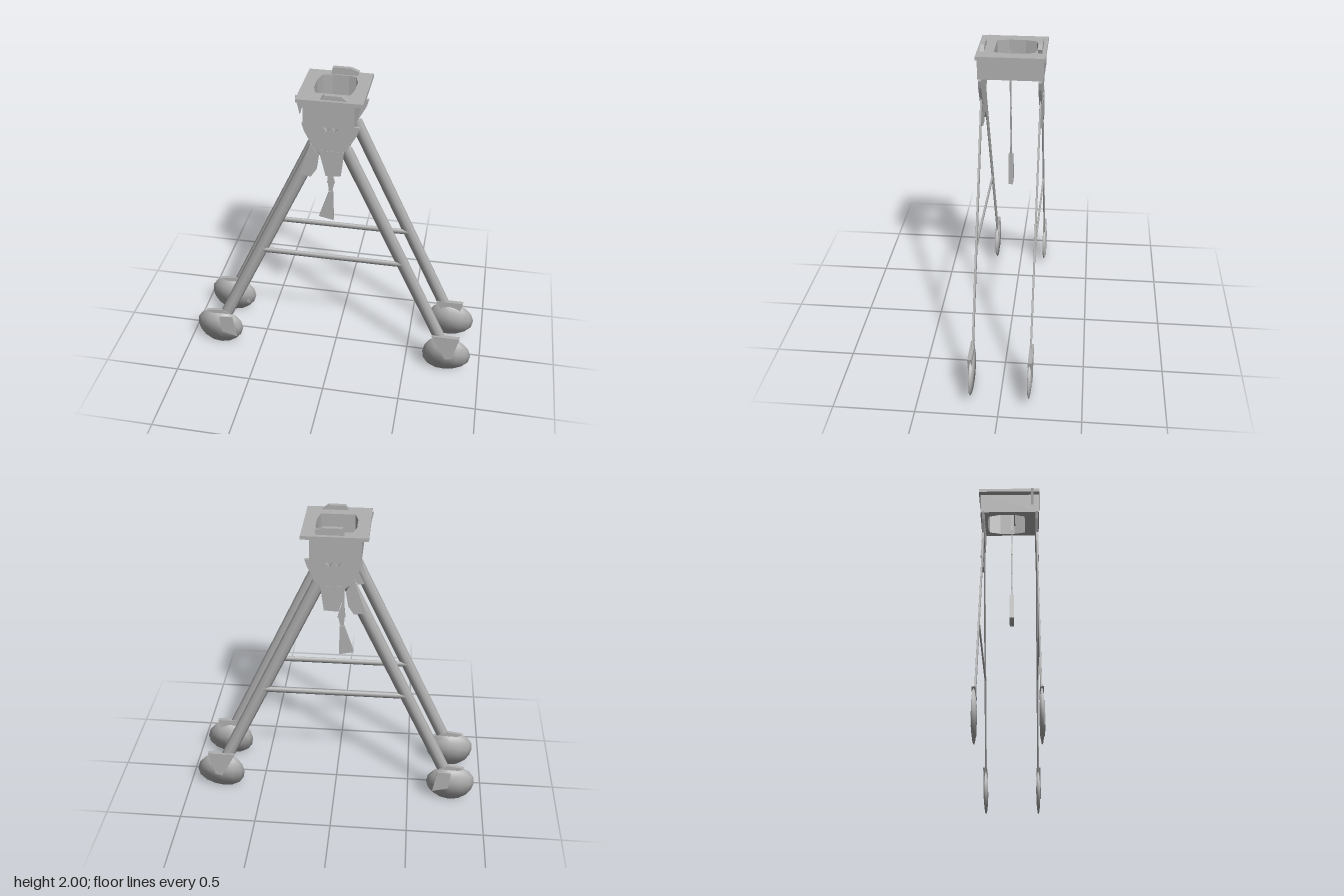
import * as THREE from 'three';

export function createModel() {
  const model = new THREE.Group();
  model.name = 'hoistFrame';
  const metal = new THREE.MeshStandardMaterial({ color: 0xb0b0b0, side: THREE.DoubleSide });
  metal.name = 'weathered grey metal';

  function add(parent, name, geometry, x = 0, y = 0, z = 0) {
    const mesh = new THREE.Mesh(geometry, metal);
    mesh.name = name;
    mesh.position.set(x, y, z);
    parent.add(mesh);
    return mesh;
  }
  const toShape = pts => new THREE.Shape(pts.map(p => new THREE.Vector2(p[0], p[1])));

  // Flat plate in the xy plane, centred on its z
  function plate(pts, depth, holes = []) {
    const shape = toShape(pts);
    holes.forEach(h => shape.holes.push(toShape(h)));
    const g = new THREE.ExtrudeGeometry(shape, { depth, bevelEnabled: false });
    return g.translate(0, 0, -depth / 2);
  }

  // Horizontal frame with a barrel-shaped opening, from y0 to y1
  function ring(x0, x1, z0, z1, y0, y1) {
    const shape = toShape([[x0, -z1], [x1, -z1], [x1, -z0], [x0, -z0]]);
    shape.holes.push(toShape([
      [-0.105, -0.1], [-0.125, -0.03], [-0.125, 0.07], [-0.105, 0.14], [-0.05, 0.15],
      [0.05, 0.15], [0.095, 0.14], [0.115, 0.07], [0.115, -0.03], [0.1, -0.1]
    ]));
    const g = new THREE.ExtrudeGeometry(shape, { depth: y1 - y0, bevelEnabled: false });
    return g.rotateX(-Math.PI / 2).translate(0, y0, 0);
  }

  // Squash a round part along z but keep its rounded normals
  function flatten(g, k) {
    const pos = g.attributes.position;
    for (let i = 0; i < pos.count; i++) pos.setZ(i, pos.getZ(i) * k);
    return g;
  }

  // Flattened bar between two points of the xy plane
  function bar(parent, name, [xa, ya], [xb, yb], radius, depth) {
    const length = Math.hypot(xb - xa, yb - ya);
    const g = flatten(new THREE.CylinderGeometry(radius, radius, length, 8), depth / (2 * radius));
    const mesh = add(parent, name, g, (xa + xb) / 2, (ya + yb) / 2, 0);
    mesh.rotation.z = Math.atan2(yb - ya, xb - xa) - Math.PI / 2;
  }

  // Head box with an overhanging rim
  add(model, 'headBox', ring(-0.16, 0.14, -0.195, 0.195, 1.8, 1.945));
  add(model, 'headRim', ring(-0.2, 0.19, -0.205, 0.2, 1.935, 1.957));
  add(model, 'rimFlap', plate([[-0.21, 1.955], [-0.15, 1.955], [-0.185, 1.84]], 0.015), 0, 0, 0.15);
  add(model, 'frontRimCap', plate([[-0.06, 1.955], [0.1, 1.955], [0.06, 1.985], [-0.04, 1.985]], 0.025), 0, 0, 0.17);
  add(model, 'backRimCap', plate([[-0.06, 1.955], [0.1, 1.955], [0.11, 1.98], [0.06, 2], [-0.05, 2]], 0.025), 0, 0, -0.17);

  // Lens-shaped wheel with a slightly rough outline
  function wheel(seed) {
    const g = flatten(new THREE.SphereGeometry(0.16, 12, 8), 0.085);
    const pos = g.attributes.position;
    for (let i = 0; i < pos.count; i++) {
      const a = Math.atan2(pos.getY(i), pos.getX(i));
      const k = 1 + 0.035 * Math.sin(3 * a + seed);
      pos.setXY(i, pos.getX(i) * k, pos.getY(i) * k * 0.91);
    }
    return g;
  }

  // Two matching A-frames
  for (const [name, z, out] of [['frontFrame', 0.178, 1], ['backFrame', -0.176, -1]]) {
    const frame = new THREE.Group();
    frame.name = name;
    frame.position.z = z;
    model.add(frame);

    bar(frame, 'leftLeg', [0.762, 0.2], [0.088, 1.65], 0.041, 0.012);
    bar(frame, 'rightLeg', [-0.762, 0.2], [-0.088, 1.65], 0.041, 0.012);
    bar(frame, 'crossBar', [-0.47, 0.853], [0.45, 0.853], 0.021, 0.012);

    // Gusset under the head, with two small gaps
    add(frame, 'gusset', plate(
      [[-0.17, 1.8], [0.17, 1.8], [0.155, 1.75], [0.1, 1.65], [0.05, 1.61], [-0.06, 1.61], [-0.115, 1.67], [-0.155, 1.75]], 0.018,
      [[[-0.045, 1.785], [-0.005, 1.785], [-0.02, 1.755]], [[0.01, 1.785], [0.05, 1.785], [0.025, 1.755]]]));
    add(frame, 'gussetTongue', plate([[-0.07, 1.63], [0.08, 1.63], [0.06, 1.465], [-0.03, 1.46]], 0.014), 0, 0, 0.004 * out);
    add(frame, 'legSleeve', plate([[-0.12, 1.67], [-0.07, 1.6], [-0.085, 1.5], [-0.12, 1.445], [-0.19, 1.455]], 0.016), 0, 0, 0.003 * out);

    // Wheels and their brackets
    add(frame, 'rightWheel', wheel(0.6), -0.782, 0.152, 0);
    add(frame, 'leftWheel', wheel(2.2), 0.772, 0.152, 0);
    add(frame, 'leftFork', plate([[0.67, 0.3], [0.855, 0.3], [0.815, 0.12], [0.77, 0.11]], 0.026), 0, 0, 0.004 * out);
    add(frame, 'rightFork', plate([[-0.78, 0.24], [-0.69, 0.25], [-0.665, 0.08], [-0.77, 0.11]], 0.026), 0, 0, 0.004 * out);
    add(frame, 'rightMudguard', plate([[-0.865, 0.285], [-0.76, 0.3], [-0.7, 0.27], [-0.83, 0.265]], 0.02));
  }

  // Axle across the head opening
  add(model, 'axle', new THREE.BoxGeometry(0.25, 0.012, 0.008), -0.005, 1.87, 0.03);

  // Hanging chain made of pinched links, with a tapered weight
  const hanging = new THREE.Group();
  hanging.name = 'hangingChain';
  hanging.position.z = 0.012;
  model.add(hanging);
  add(hanging, 'chainTop', plate([[-0.03, 1.74], [0.02, 1.74], [-0.004, 1.94]], 0.008));
  const links = [[-0.01, 1.74], [-0.015, 1.64], [-0.025, 1.54], [-0.04, 1.4], [-0.03, 1.3], [-0.035, 1.22]];
  for (let i = 0; i < links.length - 1; i++) {
    const [xa, ya] = links[i], [xb, yb] = links[i + 1];
    const wa = i % 2 ? 0.007 : 0.02, wb = i % 2 ? 0.025 : 0.008;
    add(hanging, 'chainLink', plate([[xa - wa, ya], [xb - wb, yb], [xb + wb, yb], [xa + wa, ya]], 0.008));
  }
  add(hanging, 'weight', plate([[-0.045, 1.24], [-0.02, 1.24], [-0.015, 1.03], [-0.108, 1.05]], 0.028));

  return model;
}
